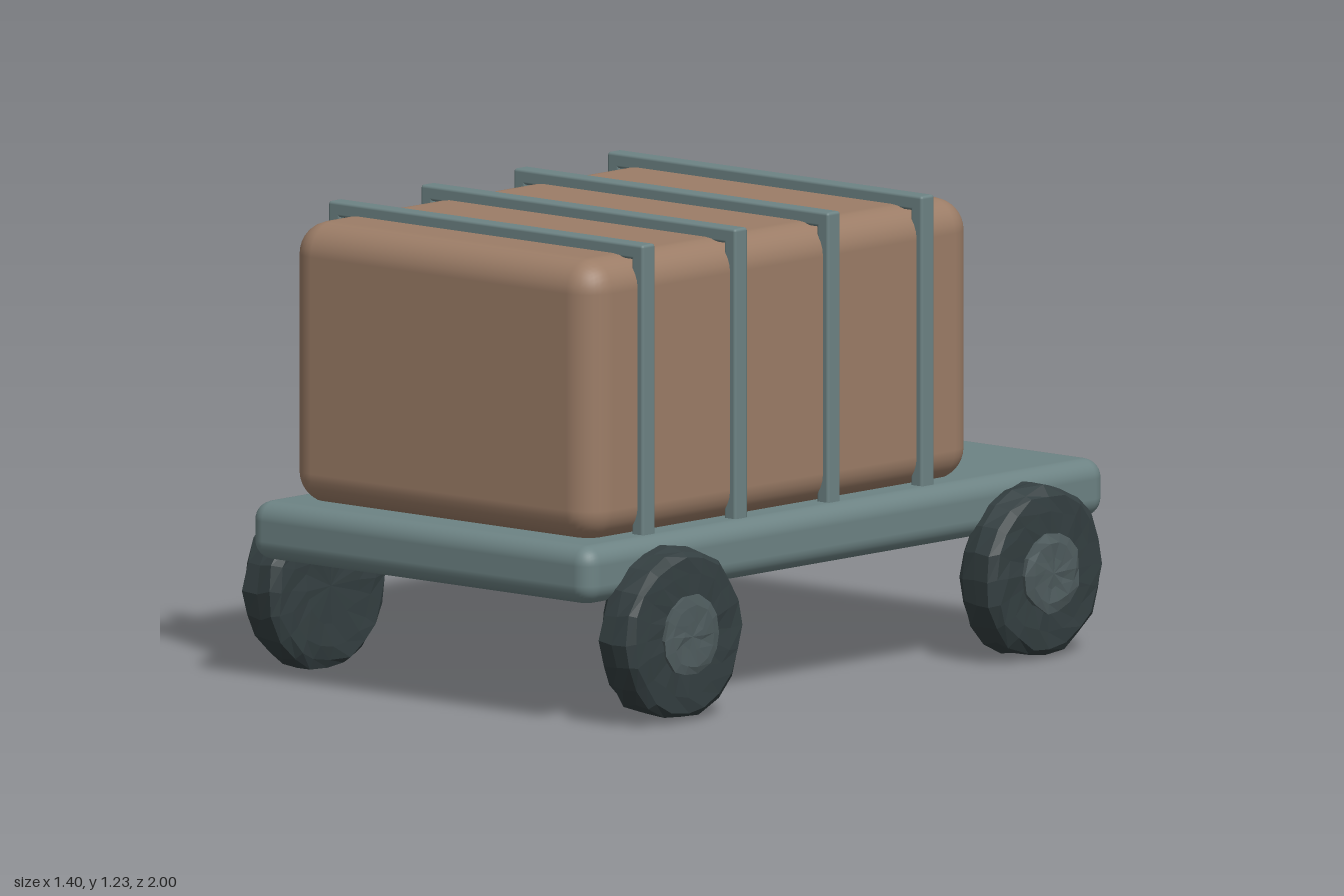
import * as THREE from 'three';
import { RoundedBoxGeometry } from 'three/addons/geometries/RoundedBoxGeometry.js';

const paint = (color, flatShading = false) =>
  new THREE.MeshStandardMaterial({ color, flatShading });

// Repeatable value in -1..1 for a position, so coincident corners move together
function noise(x, y, z, seed) {
  const r = (v) => Math.round(v * 1000);
  const s = Math.sin(r(x) * 12.9898 + r(y) * 78.233 + r(z) * 37.719 + seed * 4.137) * 43758.5453;
  return (s - Math.floor(s)) * 2 - 1;
}

// Lathe whose axis points to +x (side 1) or -x (side -1), with a chipped surface
function roughLathe(profile, sides, amount, side, seed) {
  const geo = new THREE.LatheGeometry(profile.map(([r, y]) => new THREE.Vector2(r, y)), sides);
  const pos = geo.attributes.position;
  for (let i = 0; i < pos.count; i++) {
    const x = pos.getX(i), y = pos.getY(i), z = pos.getZ(i);
    const n = (k) => noise(x, y, z, seed + k) * amount;
    pos.setXYZ(i, x + n(1), y + n(2) * 0.5, z + n(3));
  }
  geo.rotateZ(-side * Math.PI / 2);
  geo.computeVertexNormals();
  return geo;
}

export function createModel() {
  const model = new THREE.Group();
  const metal = paint(0x6d8384);
  const canvas = paint(0x9c7d67);
  const rubber = paint(0x343f41, true);
  const hubMetal = paint(0x4f5c5e, true);

  const add = (name, geo, mat, x, y, z, parent = model) => {
    const mesh = new THREE.Mesh(geo, mat);
    mesh.name = name;
    mesh.position.set(x, y, z);
    parent.add(mesh);
    return mesh;
  };

  // Flat deck and the padded load on it
  add('deck', new RoundedBoxGeometry(1.18, 0.152, 2, 4, 0.05), metal, 0, 0.404, 0);
  add('cargo', new RoundedBoxGeometry(1.056, 0.735, 1.485, 4, 0.085), canvas, 0, 0.8375, 0.178);

  // Four hoops over the load: two posts and a crossbar each
  const post = new RoundedBoxGeometry(0.04, 0.765, 0.05, 2, 0.008);
  const bar = new RoundedBoxGeometry(1.09, 0.04, 0.05, 2, 0.008);
  for (const z of [0.715, 0.36, 0.003, -0.357]) {
    const hoop = new THREE.Group();
    hoop.name = 'strapHoop';
    hoop.position.z = z;
    for (const s of [-1, 1]) add('strapPost', post, metal, s * 0.525, 0.8525, 0, hoop);
    add('strapBar', bar, metal, 0, 1.215, 0, hoop);
    model.add(hoop);
  }

  // Chunky, chipped wheels with a raised hub on the outside
  const tyre = [[0, -0.064], [0.1, -0.064], [0.16, -0.064], [0.202, -0.062], [0.22, -0.045],
    [0.222, 0], [0.22, 0.045], [0.202, 0.062], [0.16, 0.064], [0.1, 0.064], [0, 0.064]];
  const hub = [[0.1, 0.04], [0.106, 0.075], [0.08, 0.082], [0.04, 0.08], [0, 0.08]];
  let seed = 1;
  for (const z of [0.713, -0.673]) {
    for (const side of [-1, 1]) {
      const wheel = new THREE.Group();
      wheel.name = 'wheel';
      wheel.position.set(side * 0.617, 0.231, z);
      add('tyre', roughLathe(tyre, 20, 0.007, side, seed), rubber, 0, 0, 0, wheel);
      add('hub', roughLathe(hub, 14, 0.005, side, seed + 5), hubMetal, 0, 0, 0, wheel);
      model.add(wheel);
      seed += 11;
    }
  }
  return model;
}
